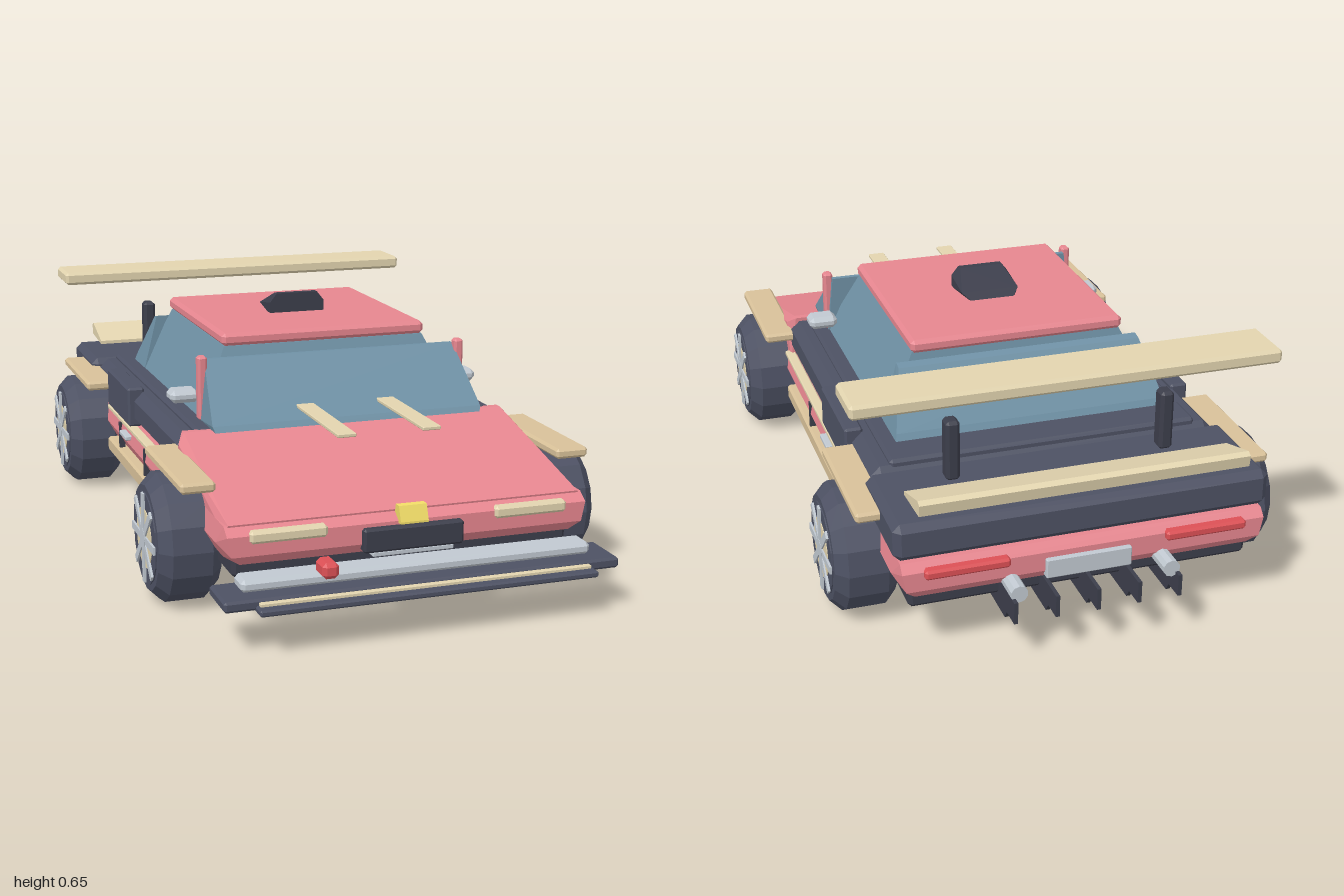
import * as THREE from 'three';
import { ConvexGeometry } from 'three/addons/geometries/ConvexGeometry.js';

const mat = (color) => new THREE.MeshStandardMaterial({ color, flatShading: true });
const PINK = mat(0xe6868f), DARK = mat(0x4d5163), BLACK = mat(0x3c3e4b), GLASS = mat(0x6f91a5);
const CREAM = mat(0xe2d4af), TAN = mat(0xd8c199), GREY = mat(0xc0c8d0), RED = mat(0xdc5055), YELLOW = mat(0xf2dd68);

export function createModel() {
  const car = new THREE.Group();
  car.name = 'car';

  const add = (name, geometry, material, parent = car) => {
    const mesh = new THREE.Mesh(geometry, material);
    mesh.name = name;
    parent.add(mesh);
    return mesh;
  };

  // Box given by its limits, with chamfered edges
  const box = (name, material, [x0, x1], [y0, y1], [z0, z1], c = 0.006) => {
    const half = [(x1 - x0) / 2, (y1 - y0) / 2, (z1 - z0) / 2];
    const points = [];
    for (const sx of [-1, 1]) for (const sy of [-1, 1]) for (const sz of [-1, 1]) {
      for (let full = 0; full < 3; full++) {
        const p = half.map((h, i) => (i === full ? h : h - c));
        points.push(new THREE.Vector3(p[0] * sx, p[1] * sy, p[2] * sz));
      }
    }
    const mesh = add(name, new ConvexGeometry(points), material);
    mesh.position.set((x0 + x1) / 2, (y0 + y1) / 2, (z0 + z1) / 2);
    return mesh;
  };
  const wide = (name, material, w, y, z, c) => box(name, material, [-w, w], y, z, c);
  const pair = (name, material, [x0, x1], y, z, c) => {
    box(name + 'Left', material, [x0, x1], y, z, c);
    box(name + 'Right', material, [-x1, -x0], y, z, c);
  };

  // Symmetric convex solid from [z, y, halfWidth] profile points
  const hull = (name, material, profile) => add(name, new ConvexGeometry(
    profile.flatMap(([z, y, w]) => [new THREE.Vector3(w, y, z), new THREE.Vector3(-w, y, z)])), material);

  // Floor and lower body
  wide('floor', BLACK, 0.44, [0.13, 0.185], [-0.88, 0.8], 0.01);
  hull('lowerBody', PINK, [
    [0.83, 0.175, 0.43], [0.85, 0.2, 0.455], [0.85, 0.25, 0.465], [0.82, 0.27, 0.465],
    [0.76, 0.175, 0.45], [0.78, 0.22, 0.475], [-0.85, 0.22, 0.475], [-0.85, 0.175, 0.45],
    [-0.9, 0.175, 0.43], [-0.92, 0.2, 0.455], [-0.92, 0.25, 0.465], [-0.9, 0.27, 0.465],
  ]);
  hull('hood', PINK, [
    [0.82, 0.25, 0.465], [0.825, 0.272, 0.455], [0.38, 0.385, 0.445], [0.4, 0.36, 0.465],
    [0.36, 0.385, 0.445], [0.36, 0.25, 0.465],
  ]);

  // Upper body, rear deck and side panels
  wide('upperBody', DARK, 0.46, [0.275, 0.375], [-0.63, 0.39], 0.025);
  wide('cabinBase', DARK, 0.41, [0.35, 0.388], [-0.61, 0.37], 0.008);
  wide('rearDeck', DARK, 0.48, [0.275, 0.372], [-0.91, -0.62], 0.018);
  pair('sideIntake', DARK, [0.43, 0.478], [0.275, 0.388], [-0.41, -0.13]);
  pair('sideStripe', CREAM, [0.45, 0.478], [0.262, 0.276], [-0.42, 0.38], 0.003);
  pair('sideSkirt', TAN, [0.43, 0.482], [0.135, 0.178], [-0.41, 0.35]);
  for (const z of [0.05, -0.265]) pair('doorGap', BLACK, [0.46, 0.478], [0.18, 0.258], [z - 0.004, z + 0.004], 0.001);
  pair('doorHandle', GREY, [0.46, 0.488], [0.233, 0.247], [-0.215, -0.135], 0.003);

  // Glasshouse
  hull('cabinGlass', GLASS, [
    [0.27, 0.385, 0.37], [0.2, 0.565, 0.285], [-0.37, 0.565, 0.285], [-0.41, 0.385, 0.37],
  ]);
  hull('windshield', GLASS, [
    [0.415, 0.385, 0.37], [0.405, 0.4, 0.375], [0.255, 0.545, 0.355], [0.24, 0.545, 0.355], [0.24, 0.385, 0.372],
  ]);
  hull('rearWindow', GLASS, [
    [-0.515, 0.385, 0.37], [-0.505, 0.405, 0.365], [-0.405, 0.54, 0.33], [-0.38, 0.545, 0.33], [-0.38, 0.385, 0.37],
  ]);
  pair('pillar', PINK, [0.352, 0.378], [0.385, 0.558], [0.25, 0.28]);
  wide('roof', PINK, 0.29, [0.564, 0.6], [-0.385, 0.205], 0.01);
  hull('roofScoop', BLACK, [
    [-0.04, 0.595, 0.08], [-0.04, 0.63, 0.08], [-0.04, 0.655, 0.06], [-0.06, 0.655, 0.06],
    [-0.14, 0.615, 0.08], [-0.165, 0.6, 0.06], [-0.165, 0.595, 0.06],
  ]);
  pair('mirror', GREY, [0.36, 0.44], [0.423, 0.458], [0.165, 0.23], 0.012);
  pair('hoodStrip', CREAM, [0.088, 0.137], [0.424, 0.434], [0.25, 0.695], 0.002);

  // Fender flares
  for (const [z0, z1] of [[0.34, 0.715], [-0.78, -0.41]]) {
    pair('fenderFlare', TAN, [0.452, 0.54], [0.322, 0.349], [z0, z1], 0.007);
  }

  // Rear wing on struts and tail lip
  wide('rearWing', CREAM, 0.55, [0.604, 0.642], [-0.797, -0.648], 0.008);
  pair('wingStrut', BLACK, [0.262, 0.298], [0.37, 0.53], [-0.725, -0.68], 0.008);
  hull('tailLip', CREAM, [
    [-0.78, 0.385, 0.42], [-0.78, 0.395, 0.42], [-0.9, 0.432, 0.42], [-0.915, 0.425, 0.42], [-0.91, 0.395, 0.42],
  ]);

  // Nose details
  pair('headlight', CREAM, [0.217, 0.41], [0.23, 0.261], [0.83, 0.858], 0.007);
  wide('frontGrille', BLACK, 0.13, [0.18, 0.241], [0.83, 0.867]);
  wide('grilleTrim', GREY, 0.105, [0.168, 0.18], [0.82, 0.86], 0.002);
  hull('noseBadge', YELLOW, [
    [0.82, 0.245, 0.036], [0.865, 0.245, 0.036], [0.865, 0.25, 0.036], [0.85, 0.287, 0.036], [0.83, 0.287, 0.036],
  ]);

  // Front splitter
  wide('splitter', DARK, 0.505, [0.108, 0.135], [0.83, 0.962]);
  wide('splitterLip', DARK, 0.43, [0.104, 0.12], [0.95, 1.0], 0.004);
  wide('splitterStripe', CREAM, 0.422, [0.117, 0.128], [0.955, 0.975], 0.002);
  wide('splitterPlate', GREY, 0.45, [0.132, 0.165], [0.845, 0.915], 0.01);
  for (const x of [0.07, 0.21]) pair('splitterBrace', BLACK, [x - 0.005, x + 0.005], [0.095, 0.112], [0.85, 0.95], 0.001);
  box('towHook', RED, [-0.26, -0.218], [0.155, 0.195], [0.88, 0.945], 0.01);

  // Tail details
  pair('tailLight', RED, [0.2, 0.412], [0.233, 0.258], [-0.935, -0.9], 0.006);
  wide('rearPlate', GREY, 0.11, [0.183, 0.235], [-0.932, -0.9], 0.003);
  for (const s of [-1, 1]) {
    const pipe = add('exhaust', new THREE.CylinderGeometry(0.022, 0.022, 0.09, 10), GREY);
    pipe.rotation.x = Math.PI / 2;
    pipe.position.set(0.195 * s, 0.185, -0.935);
  }

  // Diffuser fins
  const fin = new THREE.Shape([[0.81, 0.095], [0.93, 0.095], [0.945, 0.118], [1, 0.118], [1, 0.175], [0.81, 0.175]]
    .map(([z, y]) => new THREE.Vector2(z, y)));
  const finGeometry = new THREE.ExtrudeGeometry(fin, { depth: 0.01, bevelEnabled: false })
    .translate(0, 0, -0.005).rotateY(Math.PI / 2);
  for (let i = -2; i <= 2; i++) add('diffuserFin', finGeometry, BLACK).position.x = i * 0.105;

  // Wheels: chamfered tyre, cream disc and eight spokes
  const tyre = new THREE.LatheGeometry([
    [0, -0.08], [0.11, -0.08], [0.135, -0.08], [0.165, -0.05], [0.165, 0.05], [0.135, 0.08], [0, 0.08],
  ].map(([r, y]) => new THREE.Vector2(r, y)), 16).rotateZ(-Math.PI / 2);
  const disc = new THREE.CylinderGeometry(0.078, 0.078, 0.01, 16).rotateZ(-Math.PI / 2);
  const rim = new THREE.CylinderGeometry(0.118, 0.118, 0.004, 16).rotateZ(-Math.PI / 2);
  const hub = new THREE.CylinderGeometry(0.026, 0.026, 0.016, 8).rotateZ(-Math.PI / 2);
  const spoke = new THREE.BoxGeometry(0.012, 0.1, 0.02).translate(0, 0.066, 0);
  for (const s of [-1, 1]) for (const z of [0.53, -0.595]) {
    const wheel = new THREE.Group();
    wheel.name = (z > 0 ? 'front' : 'rear') + 'Wheel' + (s > 0 ? 'Left' : 'Right');
    wheel.position.set(0.505 * s, 0.165, z);
    if (s < 0) wheel.rotation.y = Math.PI;
    car.add(wheel);
    add('tyre', tyre, DARK, wheel);
    add('rim', rim, DARK, wheel).position.x = 0.081;
    add('disc', disc, CREAM, wheel).position.x = 0.08;
    add('hub', hub, GREY, wheel).position.x = 0.082;
    for (let i = 0; i < 8; i++) {
      const arm = add('spoke', spoke, GREY, wheel);
      arm.position.x = 0.083;
      arm.rotation.x = (i * Math.PI) / 4;
    }
  }
  return car;
}
